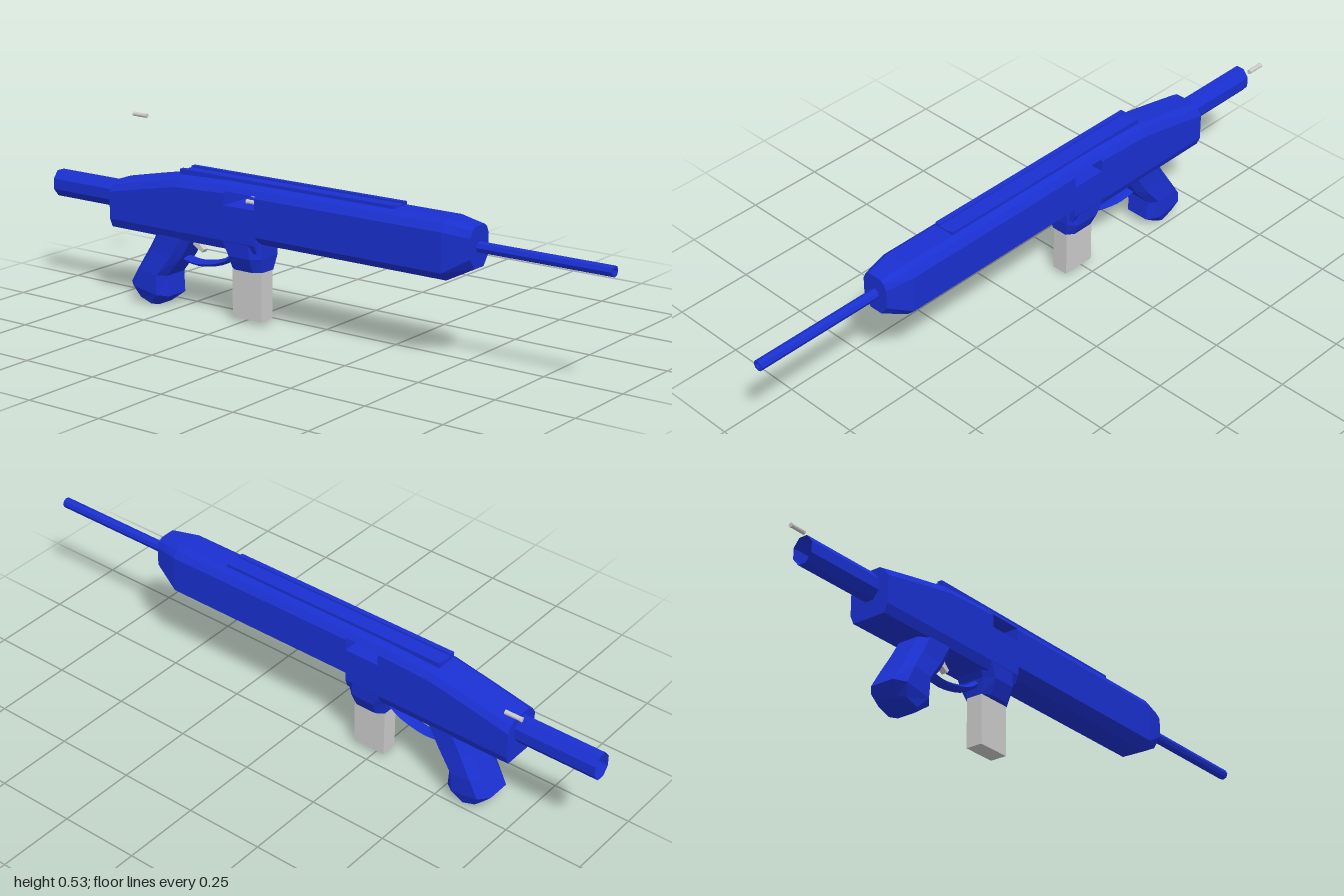
import * as THREE from 'three';

const blue = new THREE.MeshStandardMaterial({ color: 0x1a30d0, flatShading: true });
const blueOpen = new THREE.MeshStandardMaterial({ color: 0x1a30d0, flatShading: true, side: THREE.DoubleSide });
const grey = new THREE.MeshStandardMaterial({ color: 0xcccccc, flatShading: true });

// Closed solid skinned over rings of [x, y, z] points (counter-clockwise seen from the far end)
function loft(rings) {
  const pos = [], n = rings[0].length;
  const tri = (a, b, c) => pos.push(...a, ...b, ...c);
  for (let i = 0; i < rings.length - 1; i++) {
    for (let j = 0; j < n; j++) {
      const k = (j + 1) % n, r = rings[i], s = rings[i + 1];
      tri(r[j], r[k], s[k]);
      tri(r[j], s[k], s[j]);
    }
  }
  const first = rings[0], last = rings[rings.length - 1];
  for (let j = 1; j < n - 1; j++) {
    tri(first[0], first[j + 1], first[j]);
    tri(last[0], last[j], last[j + 1]);
  }
  const g = new THREE.BufferGeometry();
  g.setAttribute('position', new THREE.Float32BufferAttribute(pos, 3));
  g.computeVertexNormals();
  return g;
}

// Chamfered body section at x: mirrored [y, half width] corners listed top to bottom
function section(x, half) {
  const left = half.map(([y, w]) => [x, y, w]);
  const right = half.map(([y, w]) => [x, y, -w]).reverse();
  return [...left, ...right];
}

// Eight-sided ring from a back point to a front point [x, y], for upright parts
const ringPlan = [[.2, 1], [.8, 1], [1, .6], [1, -.6], [.8, -1], [.2, -1], [0, -.6], [0, .6]];
function uprightRing([back, front, w]) {
  return ringPlan.map(([u, v]) => [
    back[0] + (front[0] - back[0]) * u, back[1] + (front[1] - back[1]) * u, v * w]);
}

function add(parent, name, geometry, material, x = 0, y = 0, z = 0) {
  const m = new THREE.Mesh(geometry, material);
  m.name = name;
  m.position.set(x, y, z);
  parent.add(m);
  return m;
}

// Cylinder lying along x
const rod = (r, len, sides, open = false) =>
  new THREE.CylinderGeometry(r, r, len, sides, 1, open).rotateZ(-Math.PI / 2);

// Small cartridge with a rim at the back
function cartridge(name) {
  const p = [[0, -.027], [.0075, -.027], [.0075, -.023], [.0065, -.021], [.007, .027], [0, .027]];
  const g = new THREE.LatheGeometry(p.map(([r, y]) => new THREE.Vector2(r, y)), 10).rotateZ(-Math.PI / 2);
  const m = new THREE.Mesh(g, grey);
  m.name = name;
  return m;
}

export function createModel() {
  const model = new THREE.Group();
  model.name = 'model';
  const body = new THREE.Group();
  body.name = 'body';
  body.position.z = 0.065;
  model.add(body);

  // Receiver, sloping up from the back
  const receiver = (x, top) => section(x, [
    [top, .035], [top - .012, .052], [top - .033, .066], [.255, .066], [.228, .055]]);
  add(body, 'rearReceiver', loft([
    receiver(-.735, .372), receiver(-.6, .4), receiver(-.47, .425), receiver(-.283, .432)]), blue);

  // Receiver around the open port: lower block and roof
  const lower = x => section(x, [[.363, .066], [.255, .066], [.228, .055]]);
  add(body, 'lowerReceiver', loft([lower(-.283), lower(-.168)]), blue);
  const roof = x => section(x, [[.432, .035], [.42, .052], [.405, .063]]);
  add(body, 'portRoof', loft([roof(-.283), roof(-.168)]), blue);

  // Handguard with tapered nose
  const guard = x => section(x, [[.432, .035], [.42, .052], [.399, .066], [.282, .066], [.256, .038]]);
  add(body, 'handguard', loft([
    guard(-.168), guard(.49),
    section(.573, [[.419, .024], [.411, .036], [.39, .046], [.33, .046], [.298, .022]])]), blue);

  // Barrel: hollow tube with a dark bore wall and a grey core
  const bore = [[.0165, -.215], [.0165, .215], [.009, .215], [.009, .1]];
  add(body, 'barrel', new THREE.LatheGeometry(
    bore.map(([r, y]) => new THREE.Vector2(r, y)), 8).rotateZ(-Math.PI / 2), blueOpen, .785, .358);
  add(body, 'boreCore', rod(.009, .02, 8), grey, .875, .358);

  // Stock tube, open at the back
  add(body, 'stockTube', rod(.044, .275, 8, true).rotateX(Math.PI / 8).scale(1, 1, .8),
    blueOpen, -.8625, .321);

  // Top rail with a raised lip on both sides
  add(body, 'railBase', new THREE.BoxGeometry(.78, .012, .07), blue, -.085, .431);
  for (const s of [-1, 1]) {
    add(body, 'railLip', new THREE.BoxGeometry(.78, .012, .016), blue, -.085, .436, s * .027);
  }

  // Pistol grip
  add(body, 'grip', loft([
    [[-.643, .024], [-.573, 0], .05],
    [[-.675, .06], [-.525, .035], .064],
    [[-.64, .115], [-.53, .1], .066],
    [[-.6, .18], [-.475, .165], .058],
    [[-.565, .24], [-.43, .24], .056]].map(uprightRing)), blue);

  // Magazine well and magazine
  add(body, 'magazineWell', loft([
    [[-.285, .165], [-.17, .165], .043],
    [[-.293, .21], [-.163, .21], .063],
    [[-.32, .25], [-.163, .265], .0655]].map(uprightRing)), blue);
  add(body, 'magazine', new THREE.BoxGeometry(.11, .178, .053), grey, -.229, .101);

  // Trigger guard strip and trigger
  const path = new THREE.CatmullRomCurve3([[-.5, .16], [-.43, .15], [-.37, .158], [-.32, .175], [-.28, .205]]
    .map(([x, y]) => new THREE.Vector3(x, y, 0)));
  add(body, 'triggerGuard', new THREE.TubeGeometry(path, 10, .01, 6).scale(1, 1, 2), blue);
  const trigger = new THREE.Shape([[-.46, .235], [-.45, .205], [-.415, .185], [-.408, .195], [-.425, .21], [-.43, .235]]
    .map(([x, y]) => new THREE.Vector2(x, y)));
  add(body, 'trigger', new THREE.ExtrudeGeometry(trigger, { depth: .02, bevelEnabled: false }), grey, 0, 0, -.01);

  // Cartridge seen through the port, and one thrown clear
  const loaded = cartridge('loadedCartridge');
  loaded.position.set(-.22, .367, 0);
  body.add(loaded);
  const spent = cartridge('spentCartridge');
  spent.position.set(-.828, .527, -.125);
  model.add(spent);

  return model;
}
